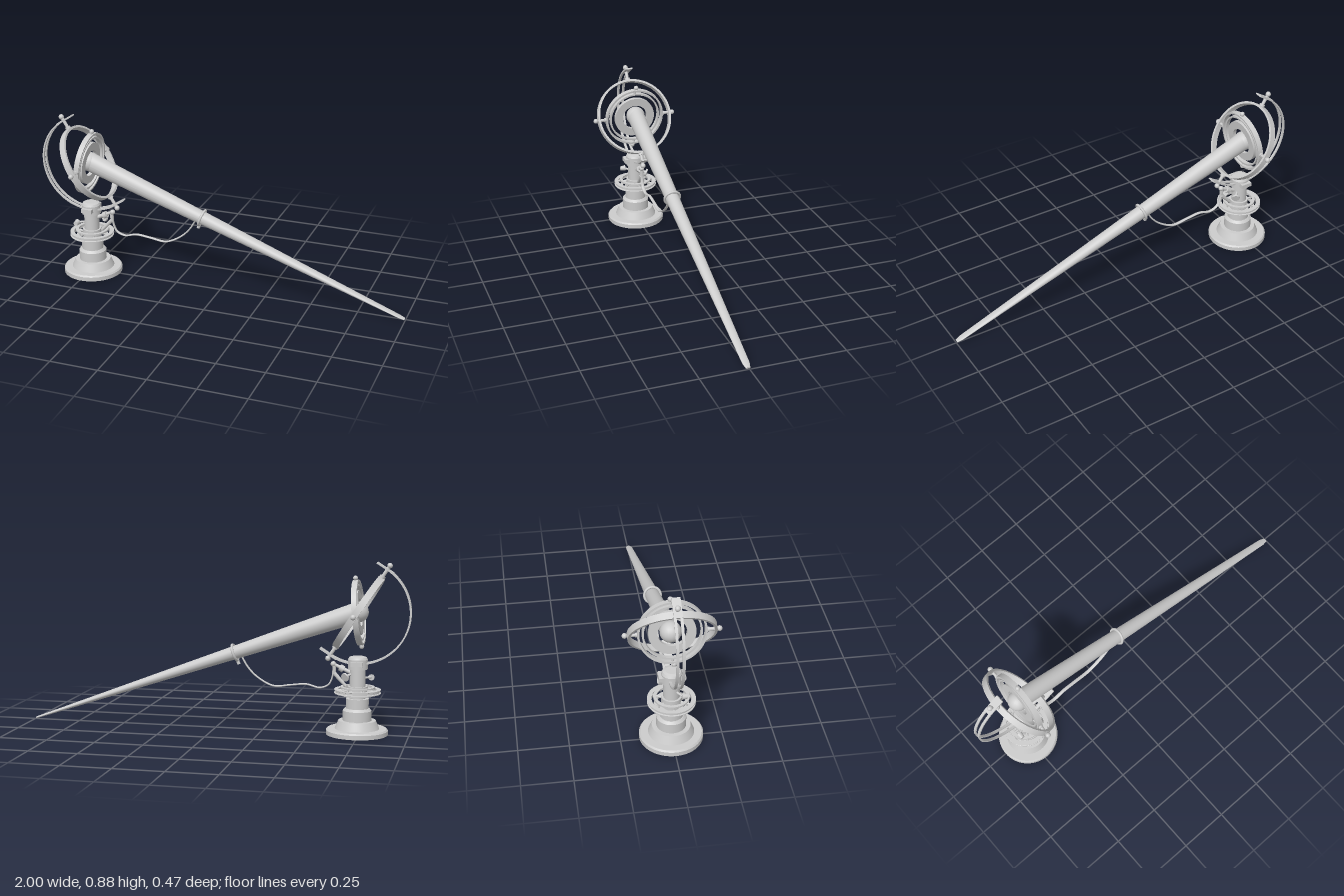
import * as THREE from 'three';

const mat = new THREE.MeshStandardMaterial({ color: 0xcccccc, side: THREE.DoubleSide });
const V = (x, y, z = 0) => new THREE.Vector3(x, y, z);

function add(parent, name, geo, pos = V(0, 0)) {
  const m = new THREE.Mesh(geo, mat);
  m.name = name;
  m.position.copy(pos);
  parent.add(m);
  return m;
}

// Turned profile with crisp edges: each segment gets its own lathe strip
function turned(parent, name, pts, y = 0) {
  const g = new THREE.Group();
  g.name = name;
  g.position.y = y;
  for (let i = 0; i + 1 < pts.length; i++) {
    const seg = [pts[i], pts[i + 1]].map(p => new THREE.Vector2(...p));
    add(g, name, new THREE.LatheGeometry(seg, 56));
  }
  parent.add(g);
  return g;
}

// Flat-sided ring around the vertical axis
function ring(parent, name, rIn, rOut, width, y = 0) {
  const h = width / 2;
  return turned(parent, name, [[rIn, -h], [rOut, -h], [rOut, h], [rIn, h], [rIn, -h]], y);
}

// Round rod between two points
function rod(parent, name, a, b, r, r2 = r) {
  const d = b.clone().sub(a);
  const m = add(parent, name, new THREE.CylinderGeometry(r2, r, d.length(), 16), a.clone().add(b).multiplyScalar(0.5));
  m.quaternion.setFromUnitVectors(V(0, 1), d.normalize());
  return m;
}

const ball = (parent, name, p, r) => add(parent, name, new THREE.SphereGeometry(r, 20, 14), p);

function group(parent, name, pos, rotZ = 0) {
  const g = new THREE.Group();
  g.name = name;
  g.position.copy(pos);
  g.rotation.z = rotZ;
  parent.add(g);
  return g;
}

function buildStand(root) {
  const s = group(root, 'stand', V(-0.738, 0));
  turned(s, 'pedestal', [[0, 0], [0.157, 0], [0.157, 0.022], [0.15, 0.03], [0.113, 0.03], [0.095, 0.072],
    [0.073, 0.072], [0.073, 0.123], [0.062, 0.135], [0.058, 0.135], [0.058, 0.185], [0.04, 0.185], [0.04, 0.335]]);
  turned(s, 'columnCap', [[0.04, 0.335], [0.05, 0.335], [0.05, 0.385], [0.044, 0.396], [0.03, 0.4], [0, 0.4]]);
  add(s, 'arcClamp', new THREE.BoxGeometry(0.06, 0.022, 0.13), V(0, 0.366));

  // Grooved handwheel with spokes and two thin guide rings
  turned(s, 'handwheelRim', [[0.096, 0.211], [0.118, 0.211], [0.118, 0.215], [0.112, 0.217], [0.112, 0.226],
    [0.118, 0.228], [0.118, 0.232], [0.096, 0.232], [0.096, 0.211]]);
  ring(s, 'lowerGuideRing', 0.07, 0.085, 0.009, 0.205);
  ring(s, 'upperGuideRing', 0.072, 0.088, 0.008, 0.241);
  ring(s, 'wheelHub', 0.038, 0.05, 0.05, 0.222);
  for (let i = 0; i < 6; i++) {
    const a = i * Math.PI / 3, c = Math.cos(a), n = Math.sin(a);
    rod(s, 'wheelSpoke', V(0.04 * c, 0.222, 0.04 * n), V(0.1 * c, 0.222, 0.1 * n), 0.006);
    rod(s, 'guidePost', V(0.08 * c, 0.203, 0.08 * n), V(0.08 * c, 0.243, 0.08 * n), 0.005);
  }

  // Crank knob, small tilted hand disc and cable bracket
  rod(s, 'knobShaft', V(-0.03, 0.288, 0.02), V(-0.065, 0.288, 0.045), 0.006);
  rod(s, 'sideKnob', V(-0.065, 0.288, 0.04), V(-0.065, 0.288, 0.066), 0.016, 0.012);
  rod(s, 'discShaft', V(0.03, 0.31, -0.02), V(0.06, 0.3, -0.046), 0.006);
  rod(s, 'handDisc', V(0.055, 0.299, -0.043), V(0.06, 0.296, -0.051), 0.022);
  rod(s, 'cableArm', V(0.035, 0.315), V(0.13, 0.36), 0.011, 0.008);
  ball(s, 'cableArmEnd', V(0.125, 0.357), 0.014);
  rod(s, 'armCollar', V(0.072, 0.33), V(0.092, 0.341), 0.018);
  rod(s, 'armLever', V(0.12, 0.31), V(0.06, 0.245), 0.011, 0.008);
  rod(s, 'armLink', V(0.12, 0.355), V(0.12, 0.305), 0.009);
}

function buildRings(root) {
  const centre = V(-0.738, 0.623);

  // Tilted outer frame: hoop, pivots and half-circle rails
  const f = group(root, 'outerFrame', centre, 0.57);
  ring(f, 'outerHoop', 0.199, 0.211, 0.034).rotation.z = Math.PI / 2;
  const arc = new THREE.Shape();
  arc.absarc(0, 0, 0.265, Math.PI / 2, Math.PI * 1.5, false);
  arc.absarc(0, 0, 0.257, Math.PI * 1.5, Math.PI / 2, true);
  const rail = new THREE.ExtrudeGeometry(arc, { depth: 0.013, bevelEnabled: false, curveSegments: 48 });
  add(f, 'arcRail', rail, V(0, 0, 0.008));
  add(f, 'arcRail', rail, V(0, 0, -0.021));
  for (const s of [1, -1]) {
    add(f, 'arcEndPlate', new THREE.BoxGeometry(0.1, 0.008, 0.042), V(0.012, s * 0.261));
    rod(f, 'framePivot', V(0, s * 0.2), V(0, s * 0.282), 0.009);
    rod(f, 'pivotCollar', V(0, s * 0.21), V(0, s * 0.222), 0.015);
    ball(f, 'pivotBall', V(0, s * 0.283), 0.014);
    rod(f, 'crossPivot', V(0, 0, s * 0.165), V(0, 0, s * 0.218), 0.008);
    rod(f, 'crossCollar', V(0, 0, s * 0.165), V(0, 0, s * 0.174), 0.012);
    ball(f, 'crossBall', V(0, 0, s * 0.223), 0.0135);
  }

  // Nearly upright inner rings and disc
  const n = group(root, 'innerRings', centre, -0.1);
  ring(n, 'middleRing', 0.155, 0.165, 0.028).rotation.z = Math.PI / 2;
  ring(n, 'innerRing', 0.134, 0.143, 0.022).rotation.z = Math.PI / 2;
  ring(n, 'discRing', 0.07, 0.113, 0.02).rotation.z = Math.PI / 2;
  for (const s of [1, -1]) {
    rod(n, 'ringPivot', V(0, s * 0.14), V(0, s * 0.172), 0.007);
    ball(n, 'ringPivotBall', V(0, s * 0.175, -s * 0.008), 0.0125);
  }
}

function buildTube(root) {
  const start = V(-0.738, 0.626, -0.008), end = V(0.996, 0.005, 0.006);
  const d = end.clone().sub(start), L = d.length();
  const g = group(root, 'longTube', start, Math.atan2(d.y, d.x));
  g.rotation.y = -0.008;

  // Round at the root, flattening to a rounded wedge at the tip
  const geo = new THREE.CylinderGeometry(1, 1, L, 40, 60);
  geo.rotateZ(-Math.PI / 2).translate(L / 2, 0, 0);
  const p = geo.attributes.position;
  for (let i = 0; i < p.count; i++) {
    const t = p.getX(i) / L;
    const tip = t > 0.985 ? Math.sqrt(1 - 0.6 * ((t - 0.985) / 0.015) ** 2) : 1;
    p.setY(i, p.getY(i) * (0.052 - 0.047 * t));
    p.setZ(i, p.getZ(i) * (0.047 - 0.029 * t) * tip);
  }
  geo.computeVertexNormals();
  add(g, 'taperedTube', geo);
  ball(g, 'tubeRootDome', V(0, 0), 0.052);

  const clamp = add(g, 'tubeClamp', new THREE.TorusGeometry(0.042, 0.007, 10, 40), V(L * 0.367, 0));
  clamp.rotation.y = Math.PI / 2;
  rod(g, 'clampLug', V(L * 0.367, -0.04), V(L * 0.367, -0.064), 0.009);
}

function buildCable(root) {
  // Hanging flat cable from the stand bracket to the tube clamp
  const path = new THREE.CatmullRomCurve3([[-0.613, 0.355], [-0.61, 0.295], [-0.59, 0.25], [-0.545, 0.232], [-0.475, 0.247],
    [-0.395, 0.24], [-0.305, 0.232], [-0.22, 0.275], [-0.17, 0.325], [-0.137, 0.38]].map(p => V(...p)));
  add(root, 'cable', new THREE.TubeGeometry(path, 80, 0.0045, 10).scale(1, 1, 2));
}

export function createModel() {
  const root = new THREE.Group();
  root.name = 'ringMountedTube';
  buildStand(root);
  buildRings(root);
  buildTube(root);
  buildCable(root);
  return root;
}
